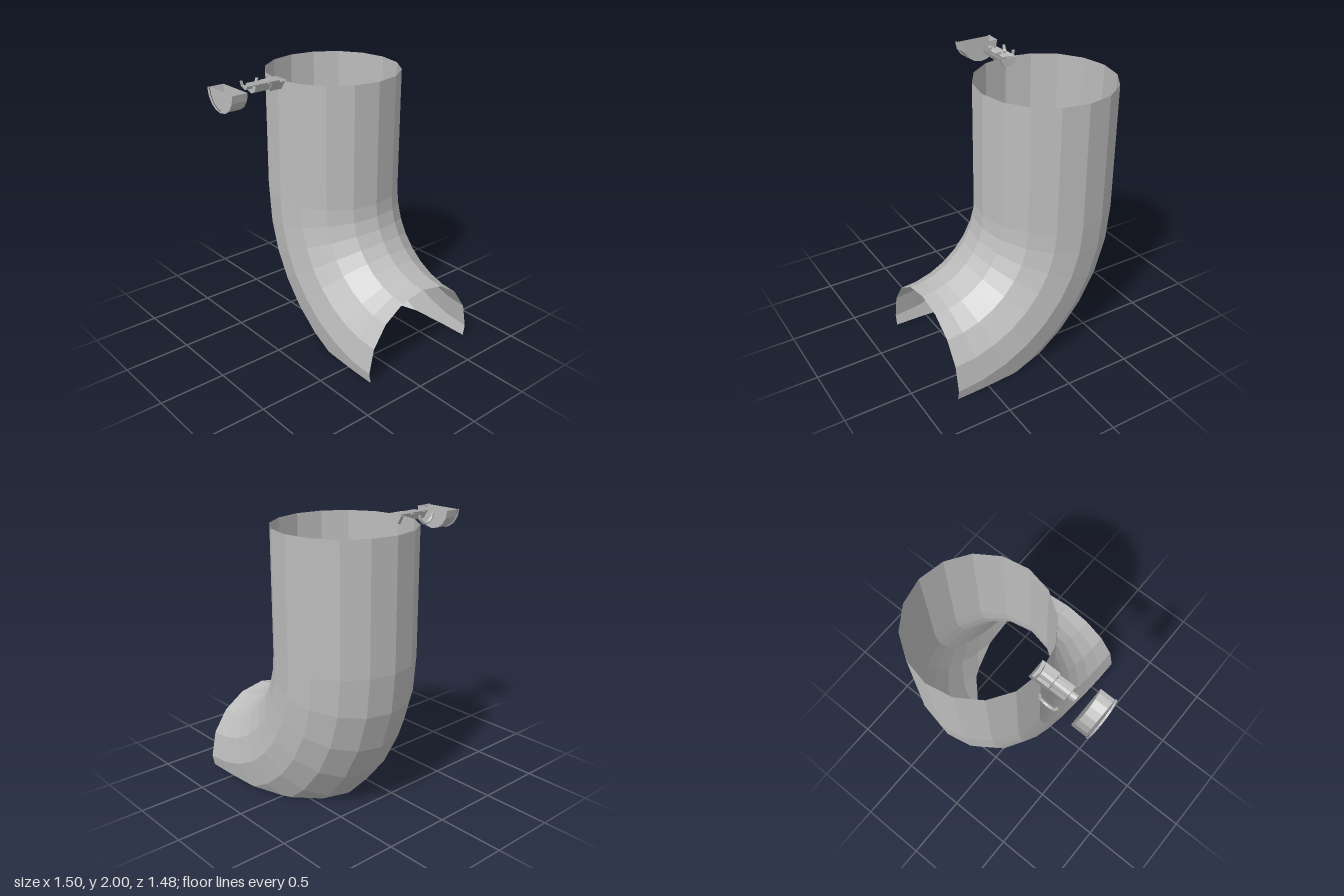
import * as THREE from 'three';

const metal = new THREE.MeshStandardMaterial({ color: 0xbcbcbc, side: THREE.DoubleSide, flatShading: true });

// Keep the part of a polygon where side(y) >= 0
function clipPolygon(points, side) {
  const out = [];
  points.forEach((p, i) => {
    const q = points[(i + 1) % points.length];
    const a = side(p.y), b = side(q.y);
    if (a >= 0) out.push(p);
    if ((a > 0 && b < 0) || (a < 0 && b > 0)) out.push(p.clone().lerp(q, a / (a - b)));
  });
  return out;
}

// Cut a geometry open at the floor (y = 0) and at the top (y = 2)
function cutOpen(geometry) {
  const pos = (geometry.index ? geometry.toNonIndexed() : geometry).attributes.position;
  const verts = [];
  for (let i = 0; i < pos.count; i += 3) {
    let poly = [0, 1, 2].map(k => new THREE.Vector3().fromBufferAttribute(pos, i + k));
    poly = clipPolygon(poly, y => y);
    poly = clipPolygon(poly, y => 2 - y);
    for (let k = 1; k + 1 < poly.length; k++) {
      for (const p of [poly[0], poly[k], poly[k + 1]]) verts.push(p.x, p.y, p.z);
    }
  }
  const cut = new THREE.BufferGeometry();
  cut.setAttribute('position', new THREE.Float32BufferAttribute(verts, 3));
  cut.computeVertexNormals();
  return cut;
}

// Sixteen-sided pipe: straight upper length, then a quarter bend towards +x
function pipeGeometry() {
  const sides = 16, steps = 8, bendX = 0.75, bendY = 1.08, z0 = -0.24, r = 0.5;
  const ring = (t, lift) => Array.from({ length: sides }, (_, j) => {
    const a = (j / sides) * Math.PI * 2;
    const d = 1 + r * Math.cos(a);
    return [bendX - Math.cos(t) * d, bendY - Math.sin(t) * d + lift, z0 + r * Math.sin(a)];
  });
  const rings = [ring(0, 2 - bendY)];
  for (let i = 0; i <= steps; i++) rings.push(ring((i / steps) * Math.PI / 2, 0));
  const index = [];
  for (let i = 0; i + 1 < rings.length; i++) {
    for (let j = 0; j < sides; j++) {
      const k = (j + 1) % sides, a = i * sides, b = a + sides;
      index.push(a + j, b + j, b + k, a + j, b + k, a + k);
    }
  }
  const g = new THREE.BufferGeometry();
  g.setAttribute('position', new THREE.Float32BufferAttribute(rings.flat(2), 3));
  g.setIndex(index);
  return g;
}

export function createModel() {
  const model = new THREE.Group();
  const add = (name, geometry, parent = model) => {
    const mesh = new THREE.Mesh(cutOpen(geometry), metal);
    mesh.name = name;
    parent.add(mesh);
  };

  add('bentPipe', pipeGeometry());

  // Small fittings lie along z, centred on the top cut
  const fitting = new THREE.Group();
  fitting.name = 'fitting';
  model.add(fitting);
  const barrel = (name, radius, z0, z1, sides, open = false) => {
    const g = new THREE.CylinderGeometry(radius, radius, z1 - z0, sides, 1, open);
    g.rotateY(Math.PI / 2).rotateX(Math.PI / 2).translate(-0.25, 2, (z0 + z1) / 2);
    add(name, g, fitting);
  };
  barrel('hexNut', 0.07, 0.22, 0.36, 6);
  barrel('collar', 0.06, 0.36, 0.485, 8);
  barrel('stem', 0.027, 0.26, 0.535, 8);
  barrel('dialBody', 0.145, 0.61, 0.72, 16);
  barrel('dialRim', 0.15, 0.72, 0.735, 16, true);
  const face = new THREE.RingGeometry(0.135, 0.15, 16).translate(-0.25, 2, 0.735);
  add('dialFaceRim', face, fitting);

  // Thin loop beside the stem
  const loop = new THREE.TorusGeometry(0.066, 0.012, 6, 12);
  loop.rotateY(Math.PI / 2).translate(-0.372, 2, 0.415);
  add('sideLoop', loop, fitting);

  return model;
}
